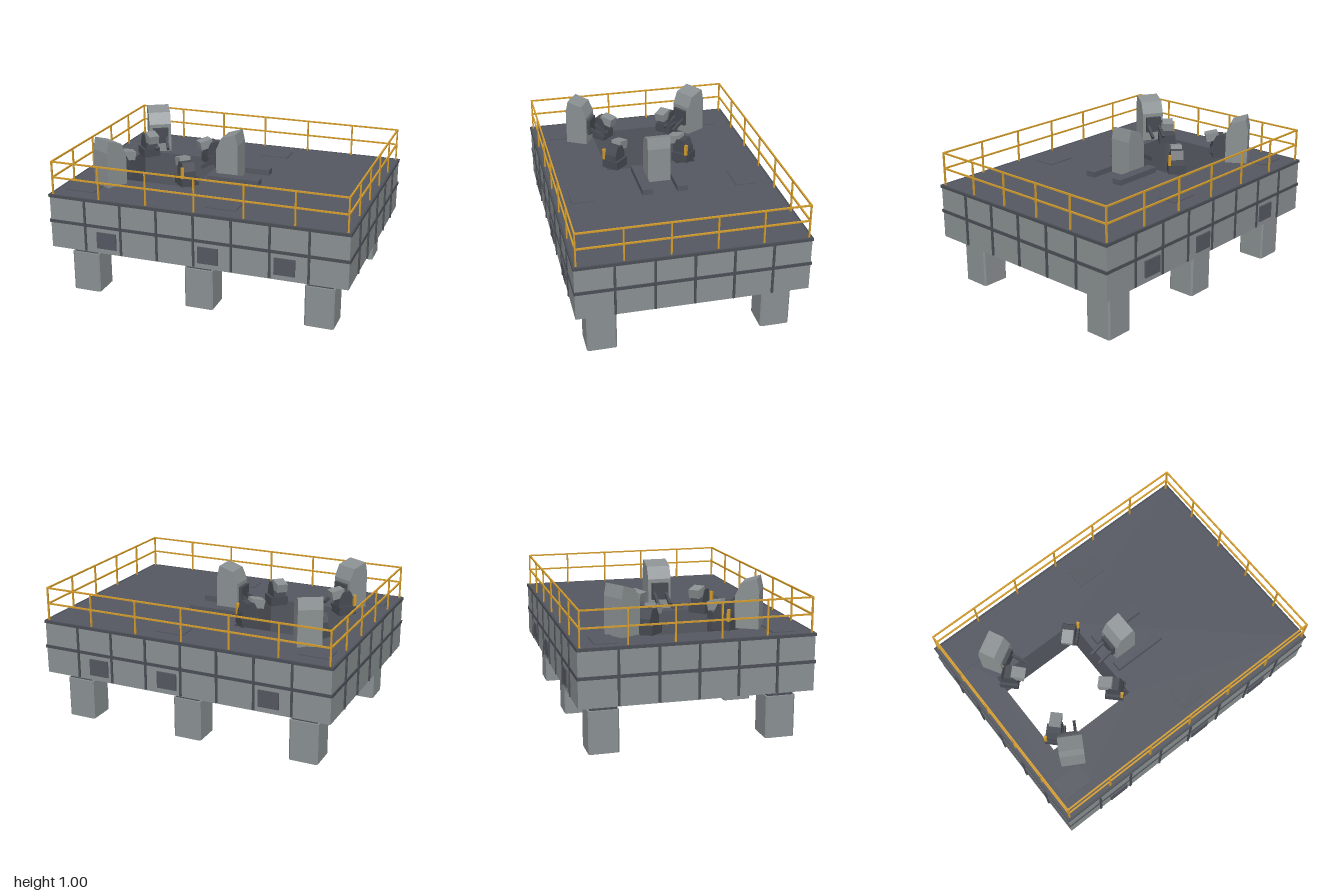
import * as THREE from 'three';

const mat = (name, color) => Object.assign(new THREE.MeshStandardMaterial({ color }), { name });

export function createModel() {
  const root = new THREE.Group();
  root.name = 'offshorePlatform';
  const grey = mat('hull grey', 0x8a9092);
  const deckMat = mat('deck slate', 0x555861);
  const trim = mat('trim dark grey', 0x4b4f56);
  const dark = mat('machinery charcoal', 0x474b52);
  const yellow = mat('safety yellow', 0xd39c2c);

  const add = (parent, name, geo, material) => {
    const m = new THREE.Mesh(geo, material);
    m.name = name;
    parent.add(m);
    return m;
  };
  const box = (parent, name, material, w, h, d, x, y, z) => {
    const m = add(parent, name, new THREE.BoxGeometry(w, h, d), material);
    m.position.set(x, y, z);
    return m;
  };
  const group = (name, parent = root) => {
    const g = new THREE.Group();
    g.name = name;
    parent.add(g);
    return g;
  };
  const rect = (C, x0, x1, z0, z1) => new C([[x0, z0], [x1, z0], [x1, z1], [x0, z1]].map(p => new THREE.Vector2(...p)));
  // vertical extrusion of a plan shape
  const plan = (shape, y0, y1) => new THREE.ExtrudeGeometry(shape, { depth: y1 - y0, bevelEnabled: false })
    .rotateX(-Math.PI / 2).translate(0, y0, 0);
  // rectangle with a rectangular opening
  const frame = (o, i, y0, y1) => {
    const s = rect(THREE.Shape, ...o);
    s.holes.push(rect(THREE.Path, ...i));
    return plan(s, y0, y1);
  };
  // side profile in x,y extruded symmetrically along z
  const profile = (pts, width) => new THREE.ExtrudeGeometry(
    new THREE.Shape(pts.map(p => new THREE.Vector2(...p))), { depth: width, bevelEnabled: false }).translate(0, 0, -width / 2);

  // Hull, deck and open well
  const well = [-0.79, -0.17, -0.31, 0.31];
  const lining = [-0.805, -0.155, -0.325, 0.325];
  const deckEdge = [-0.985, 0.985, -0.725, 0.725];
  add(root, 'hull', frame([-0.99, 0.99, -0.732, 0.732], lining, 0.322, 0.668), grey);
  add(root, 'wellLining', frame(lining, well, 0.322, 0.668), deckMat);
  add(root, 'deck', frame(deckEdge, well, 0.668, 0.684), deckMat);
  add(root, 'deckRim', frame([-0.997, 0.997, -0.737, 0.737], deckEdge, 0.666, 0.685), trim);

  // Belt, ribs and framed panels on the hull sides
  const ribs = group('hullRibs');
  for (const s of [-1, 1]) {
    box(ribs, 'belt', trim, 1.994, 0.02, 0.01, 0, 0.505, s * 0.732);
    box(ribs, 'belt', trim, 0.01, 0.02, 1.474, s * 0.992, 0.505, 0);
    for (let i = -3; i <= 3; i++) box(ribs, 'rib', trim, 0.014, 0.34, 0.014, i * 0.248, 0.498, s * 0.733);
    for (let i = -2; i <= 2; i++) box(ribs, 'rib', trim, 0.014, 0.34, 0.014, s * 0.993, 0.498, i * 0.245);
    for (const x of [-0.595, 0.097, 0.592]) box(ribs, 'sidePanel', deckMat, 0.135, 0.11, 0.02, x, 0.413, s * 0.732);
  }

  // Legs with chamfered corners
  const a = 0.095, c = 0.085;
  const legShape = new THREE.Shape([[a, -c], [a, c], [c, a], [-c, a], [-a, c], [-a, -c], [-c, -a], [c, -a]]
    .map(p => new THREE.Vector2(...p)));
  for (const x of [-0.795, 0, 0.795]) for (const z of [-0.56, 0.56]) {
    const leg = group('leg');
    leg.position.set(x, 0, z);
    add(leg, 'legColumn', plan(legShape, 0, 0.27), grey);
    box(leg, 'legNeck', trim, 0.165, 0.06, 0.165, 0, 0.296, 0);
  }

  // Safety railing
  const rail = group('railing');
  const rx = 0.972, rz = 0.715, t = 0.01;
  for (const s of [-1, 1]) {
    for (const y of [0.797, 0.902]) {
      box(rail, 'rail', yellow, 2 * rx + t, t, t, 0, y, s * rz);
      box(rail, 'rail', yellow, t, t, 2 * rz + t, s * rx, y, 0);
    }
    for (let i = -3; i <= 3; i++) box(rail, 'post', yellow, t, 0.22, t, i * rx / 3, 0.792, s * rz);
    for (let i = -1.5; i <= 1.5; i++) box(rail, 'post', yellow, t, 0.22, t, s * rx, 0.792, i * rz / 2.5);
  }

  // Deck hatches and skid beams
  for (const z of [-0.55, 0.55]) for (const x of [-0.83, 0.14])
    box(root, 'hatch', deckMat, 0.2, 0.008, 0.14, x, 0.686, z);
  for (const z of [-0.118, 0.118]) box(root, 'skidBeam', deckMat, 0.36, 0.04, 0.07, 0.05, 0.702, z);

  // Three towers around the well, each with a pair of arms reaching inward
  const tower = profile([[0.39, 0.68], [0.54, 0.68], [0.54, 0.92], [0.523, 0.997], [0.425, 0.965], [0.39, 0.885]], 0.155);
  for (let k = 0; k < 3; k++) {
    const g = group('tower');
    g.position.x = -0.48;
    g.rotation.y = k * Math.PI * 2 / 3;
    add(g, 'towerBody', tower, grey);
    box(g, 'armMount', dark, 0.025, 0.11, 0.11, 0.38, 0.805, 0);
    for (const z of [-0.04, 0.04])
      box(g, 'arm', dark, 0.125, 0.022, 0.018, 0.325, 0.765, z).rotation.z = 0.5;
  }

  // Four clamps at the corners of the well
  const body = profile([[0.285, 0.74], [0.4, 0.74], [0.395, 0.78], [0.37, 0.838], [0.315, 0.838], [0.29, 0.79]], 0.085);
  for (let k = 0; k < 4; k++) {
    const g = group('clamp');
    g.position.x = -0.48;
    g.rotation.y = Math.PI / 4 + k * Math.PI / 2;
    box(g, 'clampBase', dark, 0.12, 0.06, 0.12, 0.345, 0.712, 0);
    add(g, 'clampBody', body, dark);
    box(g, 'clampHead', grey, 0.09, 0.058, 0.074, 0.285, 0.825, 0).rotation.z = 0.2;
    box(g, 'clampLever', yellow, 0.018, 0.075, 0.018, 0.395, 0.778, 0.052);
  }
  return root;
}
